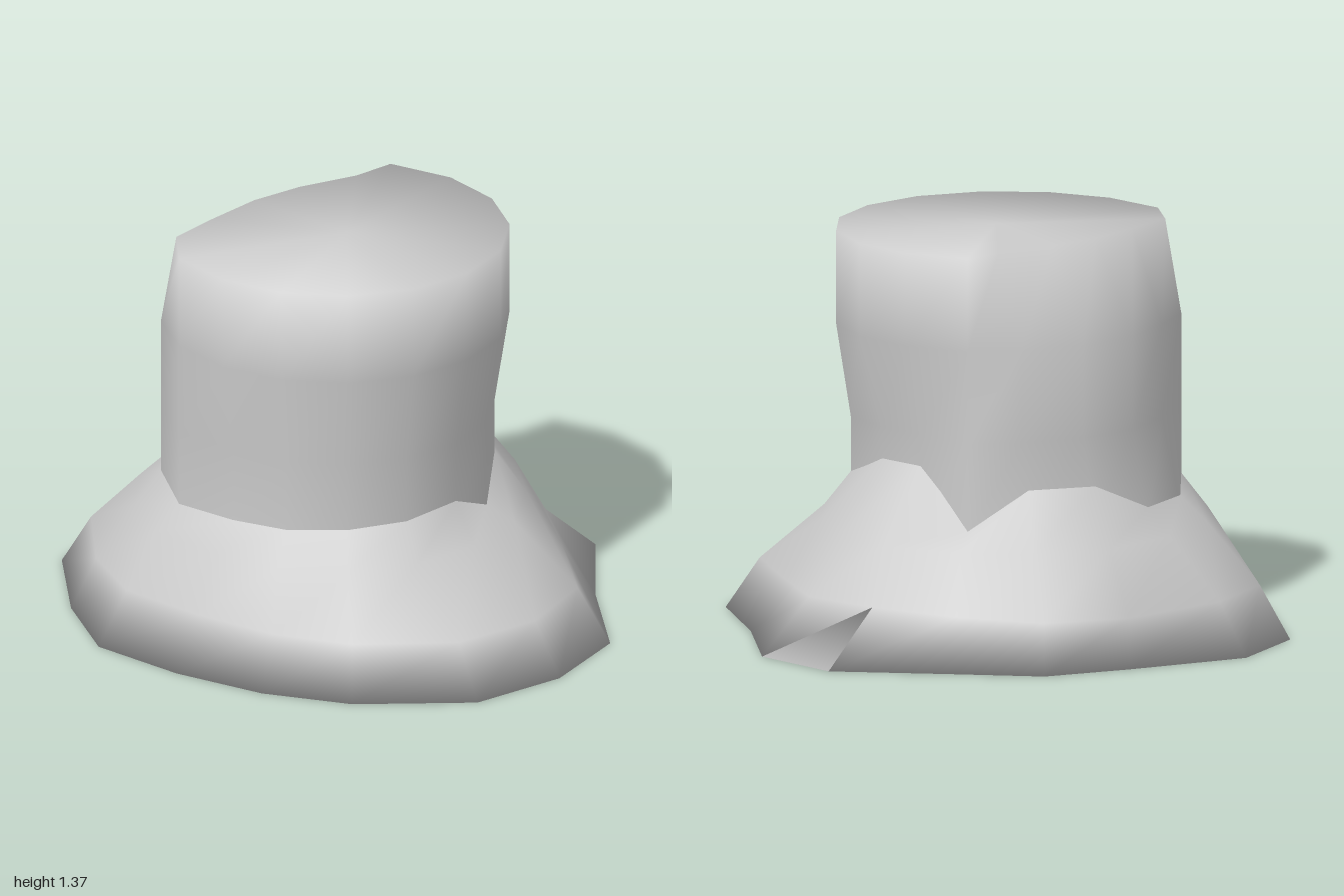
import * as THREE from 'three';

const SIDES = 16; // points per ring, from +x round the back, left to right, to the front

// Ring on the column's axis, with some points replaced
function ring(r, y, replaced = {}) {
  return Array.from({ length: SIDES }, (_, k) => {
    const a = (k / SIDES) * Math.PI * 2;
    const [x, z] = replaced[k] ?? [-0.1 + r * Math.cos(a), -r * Math.sin(a)];
    return [x, y, z];
  });
}

// Ring from an uneven outline of x, z pairs
const outline = (y, pairs) => pairs.map(([x, z]) => [x, y, z]);

// Smooth skin over the rings, from the lowest up, with optional end caps
function loft(rings, capBottom, capTop) {
  const points = rings.flat();
  const index = [];
  for (let j = 0; j < rings.length - 1; j++) {
    for (let k = 0; k < SIDES; k++) {
      const n = (k + 1) % SIDES;
      const a = j * SIDES, b = a + SIDES;
      index.push(a + k, a + n, b + n, a + k, b + n, b + k);
    }
  }
  const cap = (j, up) => {
    const r = rings[j], c = points.length;
    points.push([0, 1, 2].map((i) => r.reduce((s, p) => s + p[i], 0) / SIDES));
    for (let k = 0; k < SIDES; k++) {
      const p = j * SIDES + k, q = j * SIDES + ((k + 1) % SIDES);
      index.push(c, up ? p : q, up ? q : p);
    }
  };
  if (capBottom) cap(0, false);
  if (capTop) cap(rings.length - 1, true);
  const g = new THREE.BufferGeometry();
  g.setAttribute('position', new THREE.Float32BufferAttribute(points.flat(), 3));
  g.setIndex(index);
  g.computeVertexNormals();
  return g;
}

export function createModel() {
  const group = new THREE.Group();
  group.name = 'columnOnMound';
  const grey = new THREE.MeshStandardMaterial({ color: 0xcccccc, side: THREE.DoubleSide });
  grey.name = 'grey';

  const add = (name, geometry) => {
    const mesh = new THREE.Mesh(geometry, grey);
    mesh.name = name;
    group.add(mesh);
  };

  // Column: narrow waist, wider top, the back of the top cut away
  const corners = { 1: [0.44, -0.23], 7: [-0.645, -0.23] };
  const foot = {
    ...corners, 0: [0.39, 0], 2: [0.31, -0.39], 3: [0.12, -0.53], 4: [-0.1, -0.59],
    5: [-0.33, -0.555], 6: [-0.52, -0.42], 8: [-0.63, 0], 15: [0.36, 0.18],
  };
  const back = {
    ...corners, 2: [0.31, -0.36], 3: [0.12, -0.48], 4: [-0.1, -0.525], 5: [-0.33, -0.48], 6: [-0.52, -0.42],
  };
  const waist = { ...back, 0: [0.4, 0], 8: [-0.63, 0], 15: [0.37, 0.18] };
  const cut = {
    ...corners, 2: [0.29, -0.25], 3: [0.09, -0.33], 4: [-0.1, -0.37], 5: [-0.31, -0.37], 6: [-0.51, -0.36],
  };
  add('column', loft([
    ring(0.535, 0.42, foot),
    ring(0.535, 0.73, waist),
    ring(0.585, 1.05, back),
    ring(0.585, 1.37, cut),
  ], false, true));

  // Mound: uneven skirt that rises to a jagged line around the column
  const seam = [0.63, 0.43, 0.57, 0.57, 0.47, 0.47, 0.5, 0.47, 0.47, 0.48, 0.49, 0.5, 0.52, 0.43, 0.54, 0.63];
  const bottom = outline(0, [
    [0.92, 0], [0.72, -0.35], [0.56, -0.64], [0.29, -0.8],
    [-0.1, -1], [-0.44, -0.935], [-0.73, -0.64], [-0.92, -0.35],
    [-0.92, 0], [-0.86, 0.33], [-0.73, 0.62], [-0.44, 0.93],
    [-0.1, 1], [0.24, 0.93], [0.52, 0.62], [0.85, 0.33],
  ]);
  const skirt = outline(0.18, [
    [0.67, 0], [0.64, -0.33], [0.55, -0.63], [0.31, -0.81],
    [-0.1, -0.89], [-0.41, -0.83], [-0.67, -0.58], [-0.81, -0.32],
    [-0.81, 0], [-0.77, 0.3], [-0.66, 0.56], [-0.41, 0.82],
    [-0.1, 0.89], [0.21, 0.81], [0.46, 0.52], [0.65, 0.28],
  ]);
  const shoulder = outline(0.38, [
    [0.61, 0], [0.55, -0.28], [0.43, -0.5], [0.2, -0.65],
    [-0.1, -0.68], [-0.37, -0.64], [-0.59, -0.48], [-0.72, -0.27],
    [-0.73, 0], [-0.69, 0.25], [-0.57, 0.46], [-0.35, 0.58],
    [-0.1, 0.62], [0.14, 0.59], [0.37, 0.44], [0.55, 0.23],
  ]);
  const top = ring(0.535, 0, foot).map(([x, , z], k) => [x, seam[k], z]);
  add('mound', loft([bottom, skirt, shoulder, top], true, false));

  return group;
}
